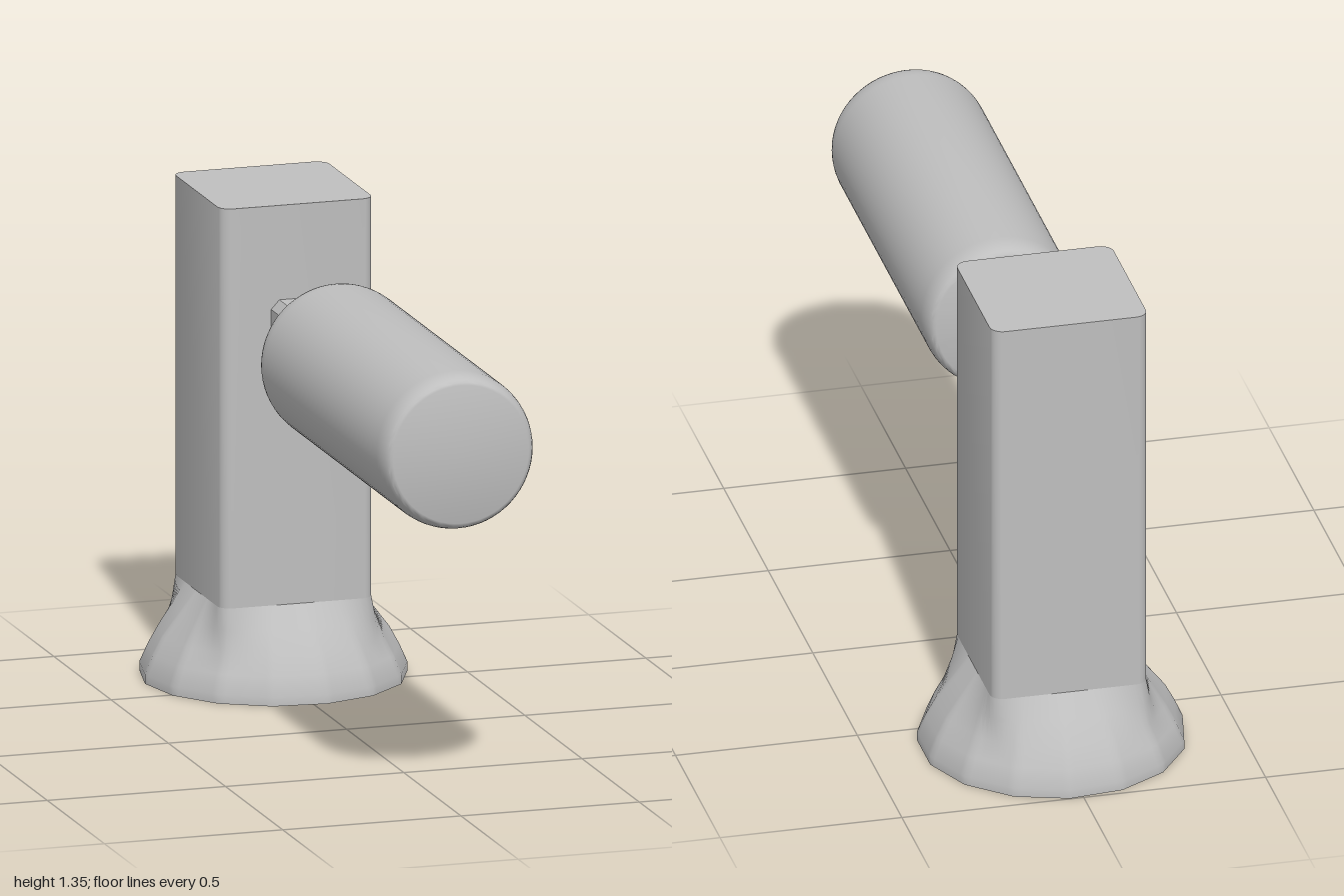
import * as THREE from 'three';
import { toCreasedNormals } from 'three/addons/utils/BufferGeometryUtils.js';

const HALF = 0.215;      // half width of the square column
const CORNER = 0.035;    // its corner radius
const COLUMN_Z = -0.64;
const SIDES = 15;        // sides of the round foot

// Distance from the centre to a regular polygon with a corner at -x
function polygonRadius(angle, radius) {
  const step = (2 * Math.PI) / SIDES;
  const a = (((angle - Math.PI) % step) + step) % step;
  return (radius * Math.cos(step / 2)) / Math.cos(a - step / 2);
}

// Distance from the centre to a rounded square
function squareRadius(angle) {
  const c = Math.abs(Math.cos(angle)), s = Math.abs(Math.sin(angle));
  const t = HALF / Math.max(c, s), inner = HALF - CORNER;
  if (Math.min(c, s) * t <= inner) return t;
  const d = inner * (c + s);
  return d + Math.sqrt(CORNER ** 2 - 2 * inner ** 2 + d * d);
}

// Foot: loft from the round polygon up to the square column
function footGeometry() {
  const N = 120;
  const rings = [
    [0, a => polygonRadius(a, 0.36)],
    [0.025, a => polygonRadius(a, 0.36)],
    [0.075, a => polygonRadius(a, 0.338)],
    [0.125, a => polygonRadius(a, 0.311)],
    [0.185, a => (polygonRadius(a, 0.311) + squareRadius(a)) / 2],
    [0.245, squareRadius],
  ];
  const pos = [], index = [];
  rings.forEach(([y, radius], j) => {
    for (let i = 0; i < N; i++) {
      const a = (i / N) * 2 * Math.PI, r = radius(a);
      pos.push(r * Math.cos(a), y, r * Math.sin(a));
      if (j === 0) continue;
      const k = (i + 1) % N, lo = (j - 1) * N, hi = j * N;
      index.push(lo + i, hi + i, hi + k, lo + i, hi + k, lo + k);
    }
  });
  // underside
  const centre = pos.length / 3;
  pos.push(0, 0, 0);
  for (let i = 0; i < N; i++) index.push(centre, i, (i + 1) % N);
  const g = new THREE.BufferGeometry();
  g.setAttribute('position', new THREE.Float32BufferAttribute(pos, 3));
  g.setIndex(index);
  return toCreasedNormals(g, 0.7);
}

function columnGeometry(height) {
  const pts = [];
  for (let q = 0; q < 4; q++) {
    const mid = Math.PI / 4 + (q * Math.PI) / 2;
    const cx = Math.sign(Math.cos(mid)) * (HALF - CORNER);
    const cy = Math.sign(Math.sin(mid)) * (HALF - CORNER);
    for (let i = 0; i <= 6; i++) {
      const a = ((q + i / 6) * Math.PI) / 2;
      pts.push(new THREE.Vector2(cx + CORNER * Math.cos(a), cy + CORNER * Math.sin(a)));
    }
  }
  const g = new THREE.ExtrudeGeometry(new THREE.Shape(pts), { depth: height, bevelEnabled: false });
  return toCreasedNormals(g.rotateX(-Math.PI / 2), 0.6);
}

// Roller: cylinder with softly rounded rims, lying along z
function rollerGeometry(length, radius) {
  const depth = 0.025, rim = 0.07, profile = [new THREE.Vector2(0, 0)];
  const arc = t => [radius - depth + depth * Math.sin(t), rim * (1 - Math.cos(t))];
  for (let i = 0; i <= 6; i++) {
    const [r, d] = arc((i / 6) * Math.PI / 2);
    profile.push(new THREE.Vector2(r, d));
  }
  for (let i = 6; i >= 0; i--) {
    const [r, d] = arc((i / 6) * Math.PI / 2);
    profile.push(new THREE.Vector2(r, length - d));
  }
  profile.push(new THREE.Vector2(0, length));
  return toCreasedNormals(new THREE.LatheGeometry(profile, 64).rotateX(Math.PI / 2), 0.7);
}

// Mount: box with cut edges, along z
function mountGeometry(length) {
  const w = 0.075, h = 0.08, cx = 0.052, cy = 0.055;
  const shape = new THREE.Shape([
    [w, -cy], [w, cy], [cx, h], [-cx, h], [-w, cy], [-w, -cy], [-cx, -h], [cx, -h],
  ].map(p => new THREE.Vector2(...p)));
  return new THREE.ExtrudeGeometry(shape, { depth: length, bevelEnabled: false });
}

export function createModel() {
  const group = new THREE.Group();
  const grey = new THREE.MeshStandardMaterial({ color: 0xbfbfbf });
  grey.name = 'grey';
  const add = (name, geometry, x, y, z) => {
    const mesh = new THREE.Mesh(geometry, grey);
    mesh.name = name;
    mesh.position.set(x, y, z);
    group.add(mesh);
  };

  add('foot', footGeometry(), 0, 0, COLUMN_Z);
  add('column', columnGeometry(1.1), 0, 0.245, COLUMN_Z);
  add('mount', mountGeometry(0.25), 0, 1.005, -0.44);
  add('neck', new THREE.CylinderGeometry(0.05, 0.05, 0.1, 24).rotateX(Math.PI / 2), 0, 1.005, -0.155);
  add('roller', rollerGeometry(1.12, 0.215), 0, 0.995, -0.12);
  return group;
}
